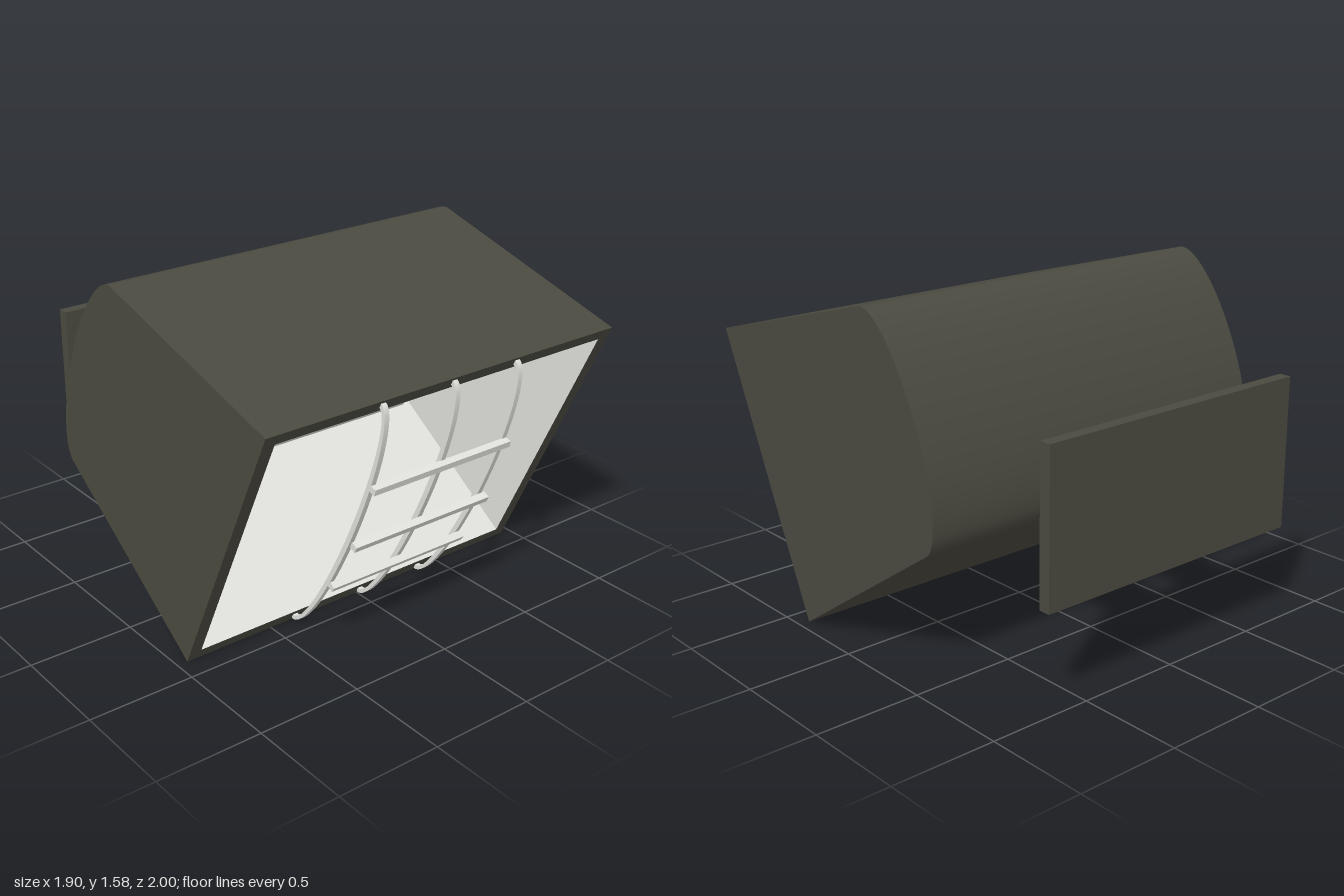
import * as THREE from 'three';
import { toCreasedNormals } from 'three/addons/utils/BufferGeometryUtils.js';

const darkMetal = new THREE.MeshStandardMaterial({ name: 'darkMetal', color: 0x4b4a40 });
const whiteEnamel = new THREE.MeshStandardMaterial({ name: 'whiteEnamel', color: 0xe0e0dc });

// Side profile corners as [z, y]
const frontTop = [0.985, 1.29], frontBottom = [0.39, 0.005];
const backTop = [-0.085, 1.585], backBottom = [-0.51, 0.615];
const innerFrontTop = [0.962, 1.242], innerFrontBottom = [0.413, 0.054];
const innerBackTop = [0.024, 1.507], innerBackBottom = [-0.383, 0.593];

// Rectangle of corners across the width, from a bottom and a top profile point
function rect(w, [zb, yb], [zt, yt]) {
  return [[-w, yb, zb], [w, yb, zb], [w, yt, zt], [-w, yt, zt]];
}

// Joins two four-cornered loops with flat quads
function loft(a, b) {
  const pos = [];
  for (let i = 0; i < 4; i++) {
    const j = (i + 1) % 4;
    pos.push(...a[i], ...a[j], ...b[j], ...a[i], ...b[j], ...b[i]);
  }
  const g = new THREE.BufferGeometry();
  g.setAttribute('position', new THREE.Float32BufferAttribute(pos, 3));
  g.computeVertexNormals();
  return g;
}

// Half ellipse bulging from the chord p-q; the sign of depth picks the side
function bulge(p, q, depth, inset = 0, n = 32) {
  const c = [(p[0] + q[0]) / 2, (p[1] + q[1]) / 2];
  const rot = Math.atan2(p[1] - q[1], p[0] - q[0]);
  const a = Math.hypot(p[0] - q[0], p[1] - q[1]) / 2 - inset;
  const pts = [];
  for (let i = 0; i <= n; i++) {
    const t = (Math.PI * i) / n;
    const u = a * Math.cos(t), v = depth * Math.sin(t);
    pts.push(new THREE.Vector2(
      c[0] + u * Math.cos(rot) - v * Math.sin(rot),
      c[1] + u * Math.sin(rot) + v * Math.cos(rot)));
  }
  return pts;
}

// Extrudes a [z, y] outline across the width, centred on x = 0
function extrudeAcross(pts, width) {
  const g = new THREE.ExtrudeGeometry(new THREE.Shape(pts), { depth: width, bevelEnabled: false });
  g.translate(0, 0, -width / 2);
  g.rotateY(-Math.PI / 2);
  return toCreasedNormals(g, 0.5);
}

export function createModel() {
  const group = new THREE.Group();
  const add = (name, geometry, material, x = 0, y = 0, z = 0) => {
    const m = new THREE.Mesh(geometry, material);
    m.name = name;
    m.position.set(x, y, z);
    group.add(m);
    return m;
  };

  // Housing shell, rim and lit cavity
  const front = rect(0.95, frontBottom, frontTop);
  const back = rect(0.95, backBottom, backTop);
  const innerFront = rect(0.89, innerFrontBottom, innerFrontTop);
  const innerBack = rect(0.89, innerBackBottom, innerBackTop);
  add('housing', loft(back, front), darkMetal);
  add('rim', loft(front, innerFront), darkMetal);
  add('reflector', loft(innerFront, innerBack), whiteEnamel);

  // Wall behind the lamp
  const dz = innerBackTop[0] - innerBackBottom[0], dy = innerBackTop[1] - innerBackBottom[1];
  add('backWall', new THREE.PlaneGeometry(1.78, Math.hypot(dz, dy)), darkMetal, 0,
    (innerBackTop[1] + innerBackBottom[1]) / 2,
    (innerBackTop[0] + innerBackBottom[0]) / 2).rotation.x = Math.atan2(dz, dy);

  // Rounded back of the housing
  add('roundedBack', extrudeAcross(bulge(backTop, backBottom, 0.18), 1.9), darkMetal);

  // Lamp tube
  const lamp = new THREE.CylinderGeometry(0.228, 0.228, 0.955, 20).toNonIndexed();
  lamp.rotateZ(Math.PI / 2);
  lamp.computeVertexNormals();
  add('lamp', lamp, whiteEnamel, 0, 0.938, 0.01);

  // Guard: bowed uprights and straight crossbars
  const bow = [...bulge(frontTop, frontBottom, -0.13, 0.012),
    ...bulge(frontTop, frontBottom, -0.105, 0.035).reverse()];
  for (const x of [-0.372, 0.01, 0.367]) add('guardUpright', extrudeAcross(bow, 0.025), whiteEnamel, x);
  for (const [y, z, tilt] of [[0.88, 0.94, 0.25], [0.568, 0.825, 0.45], [0.308, 0.678, 0.62]]) {
    add('guardCrossbar', new THREE.BoxGeometry(0.765, 0.03, 0.034), whiteEnamel, -0.003, y, z).rotation.x = tilt;
  }

  // Wall mount
  for (const s of [-1, 1]) {
    add('mountArm', new THREE.BoxGeometry(0.237, 0.115, 0.46), darkMetal, s * 0.238, 0.818, -0.72);
  }
  add('mountPlate', new THREE.BoxGeometry(1.424, 0.713, 0.057), darkMetal, 0, 0.818, -0.971);

  return group;
}
